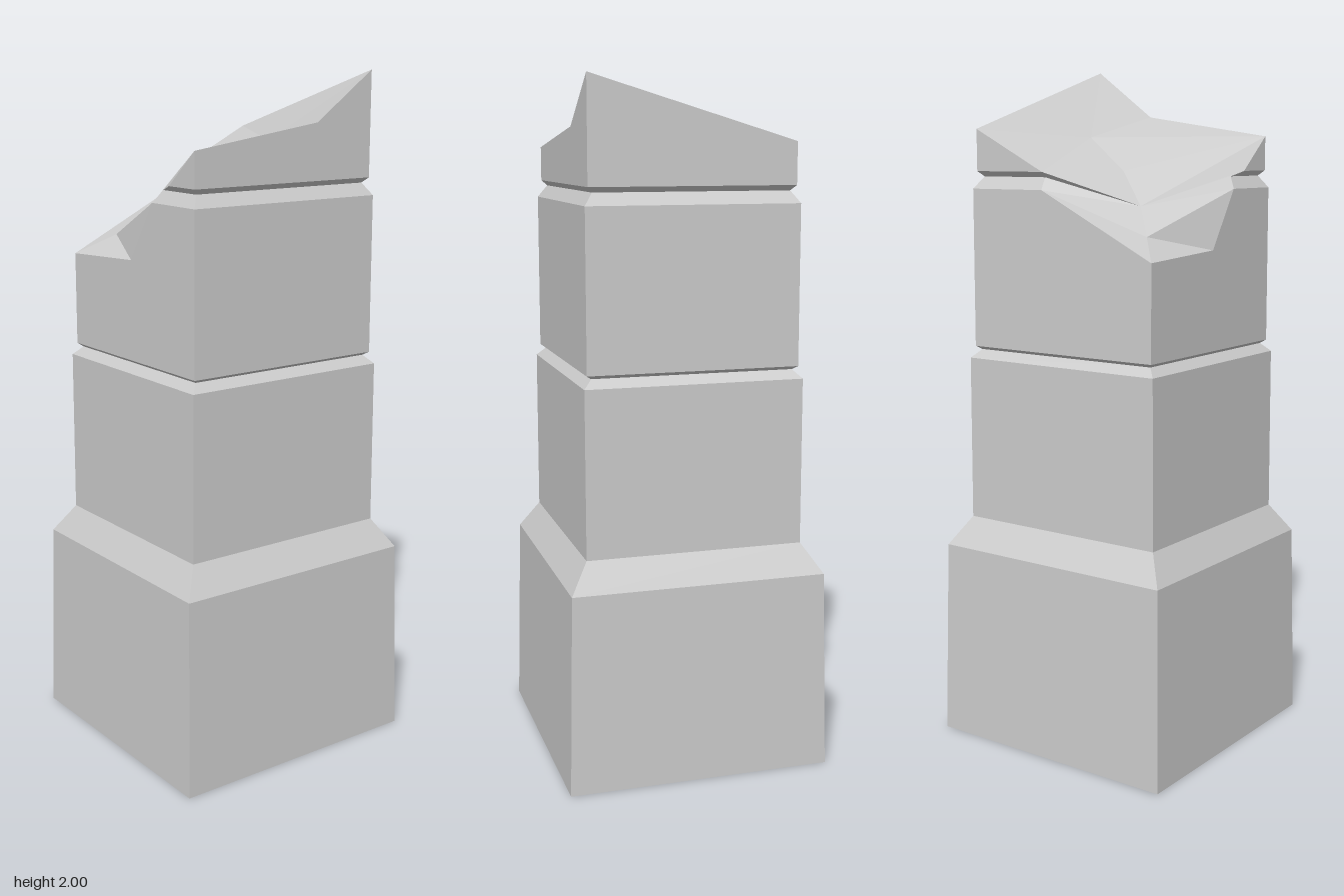
import * as THREE from 'three';

const material = new THREE.MeshStandardMaterial({ color: 0xcccccc, flatShading: true });

// Rectangle of four corners: front right, front left, back left, back right
const ring = (y, hx, hz) => [[-hx, y, hz], [hx, y, hz], [hx, y, -hz], [-hx, y, -hz]];

// Wall quad between two rings, from corner i to the next one
const wall = (lower, upper, i) => {
  const j = (i + 1) % 4;
  return [lower[i], lower[j], upper[j], upper[i]];
};

// Flat-faced mesh from convex polygons, each cut into a fan from its first corner
function facetMesh(name, polygons) {
  const positions = [];
  for (const p of polygons) {
    for (let i = 1; i < p.length - 1; i++) positions.push(...p[0], ...p[i], ...p[i + 1]);
  }
  const geometry = new THREE.BufferGeometry();
  geometry.setAttribute('position', new THREE.Float32BufferAttribute(positions, 3));
  geometry.computeVertexNormals();
  const mesh = new THREE.Mesh(geometry, material);
  mesh.name = name;
  return mesh;
}

// All four walls through a stack of rings
function stack(rings) {
  const faces = [];
  for (let k = 0; k < rings.length - 1; k++) {
    for (let i = 0; i < 4; i++) faces.push(wall(rings[k], rings[k + 1], i));
  }
  return faces;
}

export function createModel() {
  const group = new THREE.Group();
  group.name = 'brokenPillar';

  // Tapered plinth with a sloped shoulder
  const foot = ring(0, 0.395, 0.388);
  const shoulder = ring(0.67, 0.33, 0.32);
  group.add(facetMesh('plinth', [
    ...stack([foot, ring(0.585, 0.383, 0.375), shoulder]),
    [...foot].reverse(),
  ]));

  // Lower block, ending in the first groove
  const m0 = ring(1.19, 0.315, 0.31);
  group.add(facetMesh('lowerBlock', stack([
    shoulder, ring(1.155, 0.327, 0.32), ring(1.18, 0.302, 0.295), m0,
  ])));

  // Rings of the upper block, second groove and cap
  const m1 = ring(1.65, 0.313, 0.31);
  const g = ring(1.685, 0.29, 0.285);
  const t = ring(1.70, 0.305, 0.30);
  const [FR, FL, BL, BR] = [0, 1, 2, 3];

  // Broken rim: cap corners, then break points on the back and right walls
  const rimFR = [-0.305, 1.80, 0.30], rimFront = [0.11, 1.86, 0.30];
  const rimFL = [0.305, 2.0, 0.30], rimBL = [0.305, 1.82, -0.30];
  const backCap = [0.065, 1.70, -0.30], backGroove = [0.065, 1.685, -0.285];
  const backBlock = [0.06, 1.65, -0.31];
  const lowCorner = [-0.314, 1.464, -0.31], sideLow = [-0.314, 1.48, 0];
  const sideBlock = [-0.313, 1.65, 0.11], sideGroove = [-0.29, 1.685, 0.13];
  const sideCap = [-0.305, 1.70, 0.18];

  // Upper block
  group.add(facetMesh('upperBlock', [
    wall(m0, m1, FR), wall(m0, m1, FL),
    [m0[BL], m0[BR], lowCorner, backBlock, m1[BL]],
    [sideLow, lowCorner, m0[BR], m0[FR], m1[FR], sideBlock],
  ]));

  // Second groove, interrupted by the break
  group.add(facetMesh('upperGroove', [
    wall(m1, g, FR), wall(m1, g, FL), wall(g, t, FR), wall(g, t, FL),
    [m1[BL], backBlock, backGroove, g[BL]],
    [g[BL], backGroove, backCap, t[BL]],
    [sideBlock, m1[FR], g[FR], sideGroove],
    [sideGroove, g[FR], t[FR], sideCap],
  ]));

  // Cap walls with jagged upper edges
  group.add(facetMesh('brokenCap', [
    [rimFront, rimFR, t[FR], t[FL], rimFL],
    [t[FL], t[BL], rimBL, rimFL],
    [t[BL], backCap, rimBL],
    [sideCap, t[FR], rimFR],
  ]));

  // Fracture surface
  const ledge = [-0.23, 1.525, -0.21];
  const hollow = [-0.16, 1.605, -0.14];
  const step = [-0.05, 1.70, -0.068];
  const crest = [0.145, 1.797, 0.035];
  const fan = (hub, ...edge) => edge.slice(1).map((p, i) => [hub, edge[i], p]);
  group.add(facetMesh('fractureSurface', [
    ...fan(crest, step, rimFR, rimFront, rimFL, rimBL, backCap, step),
    ...fan(hollow, step, backCap, backGroove, backBlock, ledge,
      sideBlock, sideGroove, sideCap, rimFR, step),
    ...fan(ledge, backBlock, lowCorner, sideLow, sideBlock),
  ]));

  return group;
}
